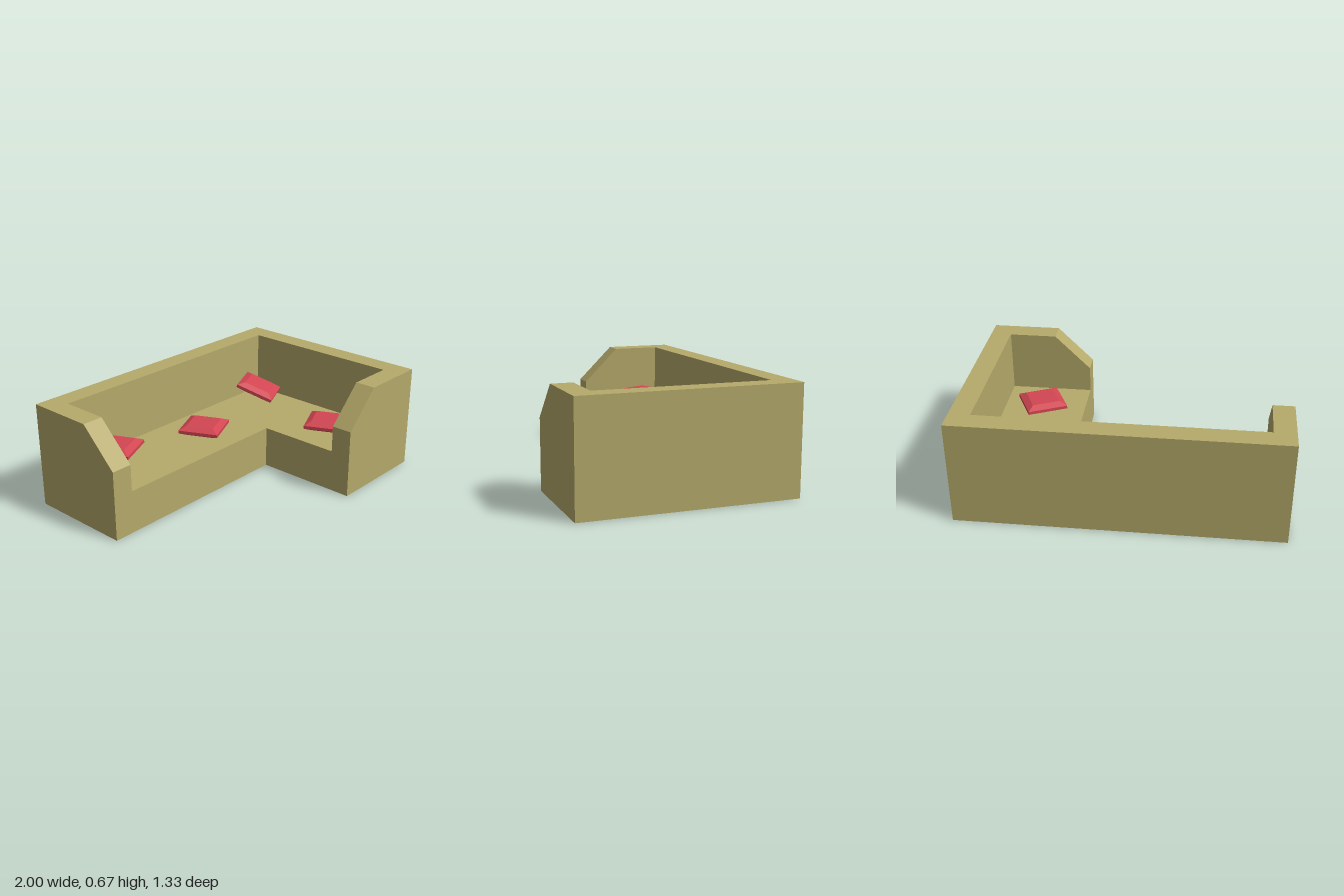
import * as THREE from 'three';

const W = 0.667, T = 0.133, SEAT = 0.27; // half depth / wall height, wall thickness, seat height

const fabric = new THREE.MeshStandardMaterial({ color: 0xb5a96a, flatShading: true });
const red = new THREE.MeshStandardMaterial({ color: 0xd24652, flatShading: true });

// Extrude a floor plan given as [x, z] corners between two heights
function plan(name, corners, y0, y1) {
  const shape = new THREE.Shape(corners.map(([x, z]) => new THREE.Vector2(x, -z)));
  const geo = new THREE.ExtrudeGeometry(shape, { depth: y1 - y0, bevelEnabled: false });
  geo.rotateX(-Math.PI / 2).translate(0, y0, 0);
  const mesh = new THREE.Mesh(geo, fabric);
  mesh.name = name;
  return mesh;
}

// Armrest with a sloping front corner, running away from the wall it joins
function armrest(name, x, z, turn) {
  const len = W - T;
  const shape = new THREE.Shape([
    [0, SEAT], [len, SEAT], [len, 0.44], [len - 0.23, W], [0, W],
  ].map(([a, b]) => new THREE.Vector2(a, b)));
  const mesh = new THREE.Mesh(
    new THREE.ExtrudeGeometry(shape, { depth: T, bevelEnabled: false }), fabric);
  mesh.name = name;
  mesh.position.set(x, 0, z);
  mesh.rotation.y = turn;
  return mesh;
}

// Square cushion with a thin rim and chamfered faces
function cushionGeometry() {
  const profile = [[0, -0.032], [0.09, -0.032], [0.131, -0.01], [0.131, 0.01], [0.09, 0.032], [0, 0.032]]
    .map(([r, y]) => new THREE.Vector2(r * Math.SQRT2, y));
  const geo = new THREE.LatheGeometry(profile, 4).rotateY(Math.PI / 4).toNonIndexed();
  geo.computeVertexNormals();
  return geo;
}

export function createModel() {
  const sofa = new THREE.Group();
  sofa.name = 'cornerSofa';

  // L-shaped base
  sofa.add(plan('seatBase',
    [[-1, -W], [1, -W], [1, W], [0.333, W], [0.333, 0], [-1, 0]], 0, SEAT));

  // Backrest along the rear and the left side
  sofa.add(plan('backrest',
    [[-1, -W], [1, -W], [1, W], [1 - T, W], [1 - T, -W + T], [-1, -W + T]], SEAT, W));

  // Armrests closing both ends
  sofa.add(armrest('rightArmrest', -1 + T, -W + T, -Math.PI / 2));
  sofa.add(armrest('frontArmrest', 1 - T, W, Math.PI));

  // Loose cushions: x, y, z, backward lean
  const geo = cushionGeometry();
  [
    [-0.667, 0.37, -0.355, 0],
    [0.015, 0.307, -0.27, 0],
    [0.68, 0.365, -0.367, 0.35],
    [0.617, 0.307, 0.286, 0],
  ].forEach(([x, y, z, lean], i) => {
    const cushion = new THREE.Mesh(geo, red);
    cushion.name = `cushion${i + 1}`;
    cushion.position.set(x, y, z);
    cushion.rotation.set(lean, 0.445, 0, 'YXZ');
    sofa.add(cushion);
  });

  return sofa;
}
